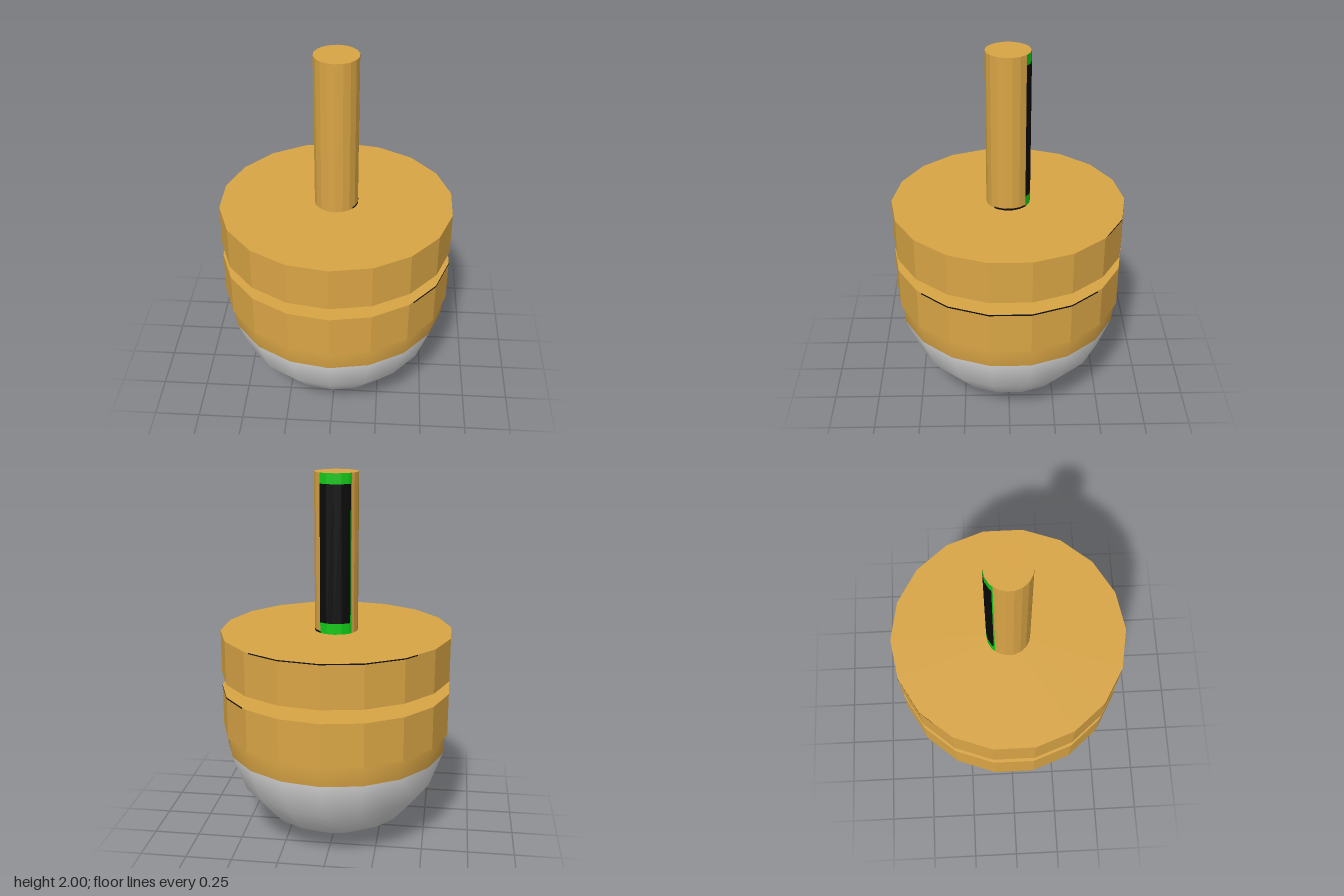
import * as THREE from 'three';

const SIDES = 18;
const DEG = Math.PI / 180;

function material(name, color) {
  const m = new THREE.MeshStandardMaterial({ color });
  m.name = name;
  return m;
}

// Point on the outline of the regular polygon, angle in degrees from +z towards +x
function rimPoint(radius, deg) {
  const step = 360 / SIDES;
  const offset = deg - (Math.floor(deg / step) + 0.5) * step;
  const r = radius * Math.cos(step / 2 * DEG) / Math.cos(offset * DEG);
  return [r * Math.sin(deg * DEG), r * Math.cos(deg * DEG)];
}

// Thin painted band that follows the polygon's faces
function bandGeometry(radius, from, to, y0, y1) {
  const step = 360 / SIDES;
  const stops = [from];
  for (let a = (Math.floor(from / step) + 1) * step; a < to; a += step) stops.push(a);
  stops.push(to);
  const pos = [];
  for (let i = 0; i < stops.length - 1; i++) {
    const [ax, az] = rimPoint(radius, stops[i]);
    const [bx, bz] = rimPoint(radius, stops[i + 1]);
    pos.push(ax, y0, az, bx, y0, bz, bx, y1, bz);
    pos.push(ax, y0, az, bx, y1, bz, ax, y1, az);
  }
  const g = new THREE.BufferGeometry();
  g.setAttribute('position', new THREE.Float32BufferAttribute(pos, 3));
  g.computeVertexNormals();
  return g;
}

export function createModel() {
  const group = new THREE.Group();
  const gold = material('gold', 0xd9a545);
  gold.flatShading = true;
  const goldSmooth = material('gold collar', 0xd9a545);
  const grey = material('light grey', 0xdcdcdc);
  const black = material('black', 0x0a0a0a);
  const green = material('green', 0x12c818);

  const add = (name, geometry, mat) => {
    const mesh = new THREE.Mesh(geometry, mat);
    mesh.name = name;
    group.add(mesh);
    return mesh;
  };
  const drum = (name, radius, y0, y1) => {
    const mesh = add(name, new THREE.CylinderGeometry(radius, radius, y1 - y0, SIDES), gold);
    mesh.position.y = (y0 + y1) / 2;
  };
  const band = (name, radius, from, to, y0, y1, mat) =>
    add(name, bandGeometry(radius + 0.0015, from, to, y0, y1), mat);

  // Rounded bottom with its gold collar
  const dome = (name, start, length, rows, mat) => {
    const mesh = add(name, new THREE.SphereGeometry(0.613, SIDES, rows,
      Math.PI / 2, Math.PI * 2, start * DEG, length * DEG), mat);
    mesh.position.y = 0.614;
  };
  dome('roundBottom', 100, 80, 4, grey);
  dome('collar', 80, 20, 1, goldSmooth);

  // Two separate discs and the shaft
  drum('lowerDisc', 0.625, 0.618, 0.853);
  drum('upperDisc', 0.625, 0.925, 1.16);
  drum('shaft', 0.116, 1.16, 2);

  // Dark hairlines along the rims
  band('lowerDiscLine', 0.625, 43, 137, 0.845, 0.853, black);
  band('upperDiscLine', 0.625, 143, 228, 1.154, 1.16, black);
  band('shaftLine', 0.116, 50, 140, 1.16, 1.17, black);

  // Black panel with green borders on the back of the shaft
  band('backPanel', 0.116, 140, 226, 1.218, 1.945, black);
  band('panelSideBorder', 0.116, 226, 230, 1.218, 1.945, green);
  band('panelTopBorder', 0.116, 140, 230, 1.945, 2, green);
  band('panelBottomBorder', 0.116, 140, 230, 1.16, 1.218, green);

  return group;
}
